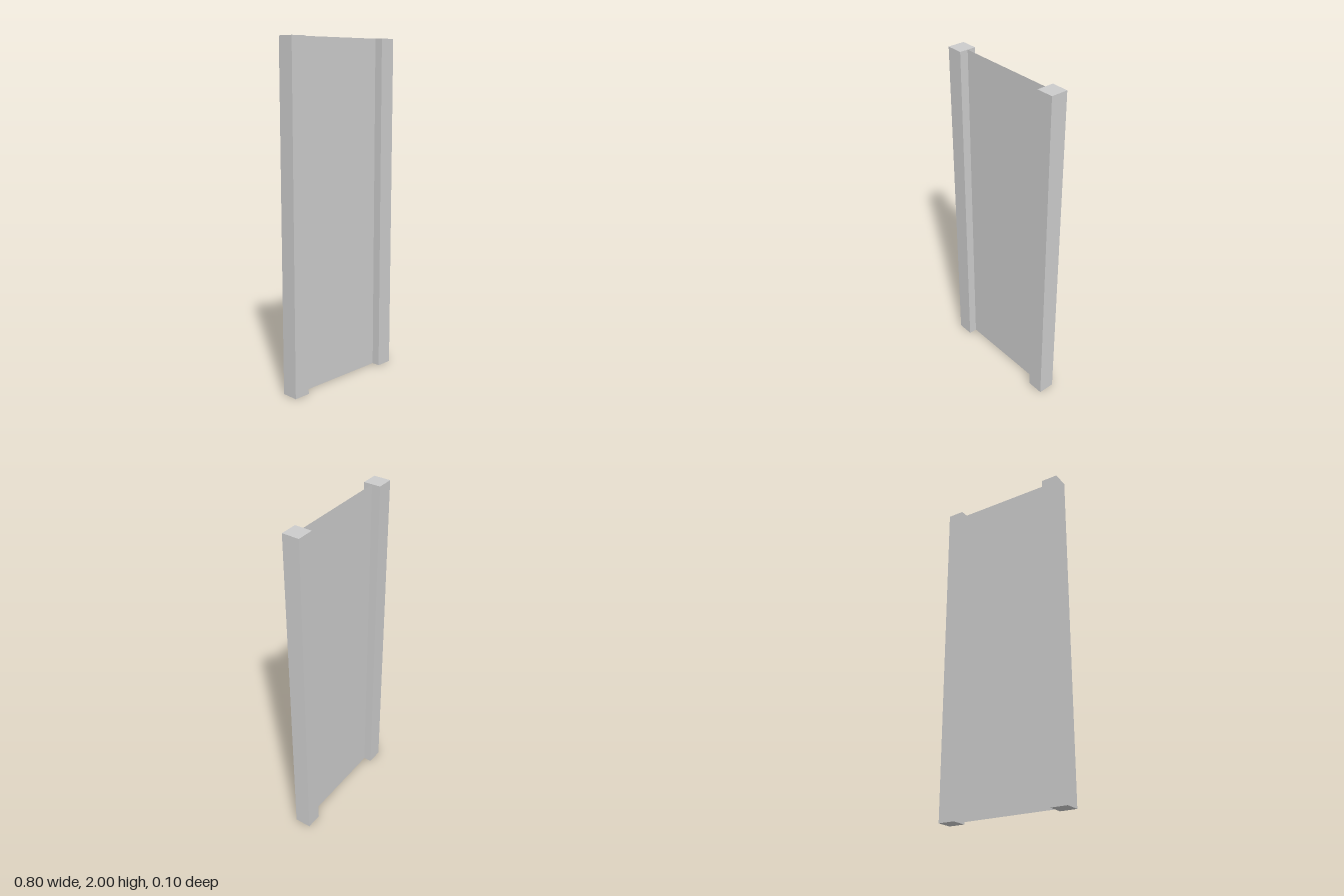
import * as THREE from 'three';

const HEIGHT = 2;
const POST = 0.1;       // square post section
const PANEL_WIDTH = 0.6;

export function createModel() {
  const model = new THREE.Group();
  model.name = 'panelWithPosts';

  // Square posts on both sides
  const postMaterial = new THREE.MeshStandardMaterial({ color: 0xcccccc, flatShading: true });
  const postGeometry = new THREE.BoxGeometry(POST, HEIGHT, POST);
  for (const [name, side] of [['leftPost', 1], ['rightPost', -1]]) {
    const post = new THREE.Mesh(postGeometry, postMaterial);
    post.name = name;
    post.position.set(side * (PANEL_WIDTH + POST) / 2, HEIGHT / 2, 0);
    model.add(post);
  }

  // Thin sheet stretched between the posts, seen from both sides
  const panel = new THREE.Mesh(
    new THREE.PlaneGeometry(PANEL_WIDTH, HEIGHT),
    new THREE.MeshStandardMaterial({ color: 0xcccccc, side: THREE.DoubleSide })
  );
  panel.name = 'panel';
  panel.position.y = HEIGHT / 2;
  model.add(panel);

  return model;
}
